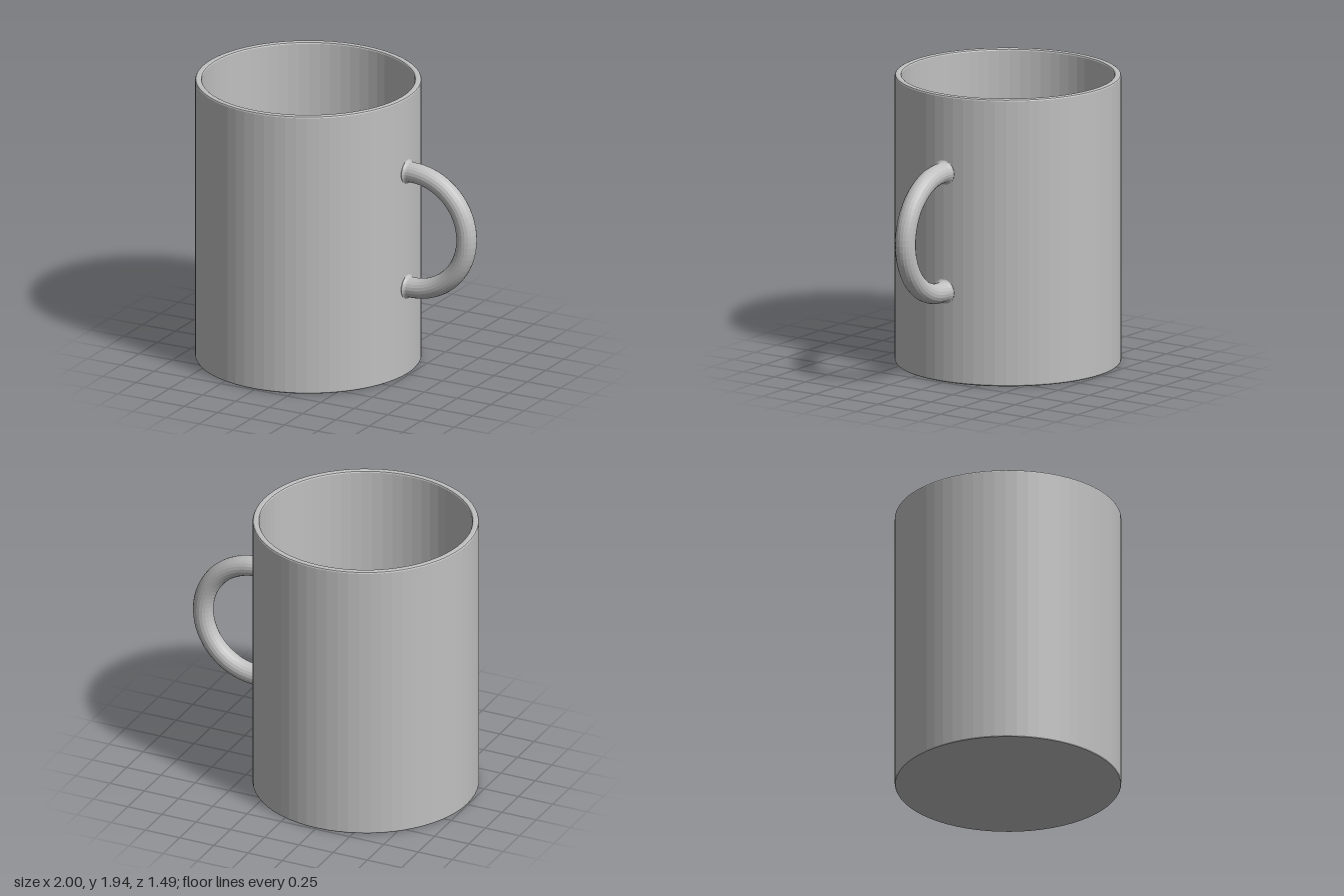
import * as THREE from 'three';

const CUP_X = -0.255, RADIUS = 0.745, HEIGHT = 1.94;
const HANDLE_X = 0.53, HANDLE_Y = 1.015, LOOP = 0.402, TUBE = 0.068;

const v2 = (x, y) => new THREE.Vector2(x, y);

// Straight stub, half circle, straight stub
function handlePath() {
  const path = new THREE.CurvePath();
  const at = (x, y) => new THREE.Vector3(x, y, 0);
  const arc = [];
  for (let i = 0; i <= 32; i++) {
    const a = -Math.PI / 2 + (Math.PI * i) / 32;
    arc.push(at(HANDLE_X + LOOP * Math.cos(a), HANDLE_Y + LOOP * Math.sin(a)));
  }
  path.add(new THREE.LineCurve3(at(0.465, HANDLE_Y - LOOP), arc[0]));
  for (let i = 0; i < 32; i++) path.add(new THREE.LineCurve3(arc[i], arc[i + 1]));
  path.add(new THREE.LineCurve3(arc[32], at(0.465, HANDLE_Y + LOOP)));
  return path;
}

export function createModel() {
  const group = new THREE.Group();
  const glaze = new THREE.MeshStandardMaterial({ color: 0xc0c0c0, flatShading: true });
  glaze.name = 'grey glaze';

  const add = (name, geometry) => {
    const mesh = new THREE.Mesh(geometry, glaze);
    mesh.name = name;
    group.add(mesh);
    return mesh;
  };

  // Cup: one closed profile, outside then over the rim to the inner floor
  const inner = 0.7;
  const profile = [
    v2(0, 0), v2(RADIUS - 0.012, 0), v2(RADIUS - 0.004, 0.004), v2(RADIUS, 0.012),
    v2(RADIUS, HEIGHT - 0.012), v2(RADIUS - 0.004, HEIGHT - 0.004), v2(RADIUS - 0.012, HEIGHT),
    v2(inner + 0.012, HEIGHT), v2(inner + 0.004, HEIGHT - 0.004), v2(inner, HEIGHT - 0.012),
    v2(inner, 0.06), v2(inner - 0.004, 0.05), v2(inner - 0.012, 0.045), v2(0, 0.045),
  ];
  add('cup', new THREE.LatheGeometry(profile, 64)).position.x = CUP_X;

  // Handle loop
  add('handle', new THREE.TubeGeometry(handlePath(), 72, TUBE, 20, false));

  // Small flared fillets where the handle meets the wall
  const flare = [v2(0.083, -0.02), v2(0.083, 0.002), v2(0.077, 0.006), v2(0.071, 0.014), v2(TUBE - 0.001, 0.026)];
  for (const side of [-1, 1]) {
    const collar = add(side > 0 ? 'upperHandleFillet' : 'lowerHandleFillet', new THREE.LatheGeometry(flare, 24));
    collar.rotation.z = -Math.PI / 2;
    collar.position.set(0.487, HANDLE_Y + side * LOOP, 0);
  }
  return group;
}
